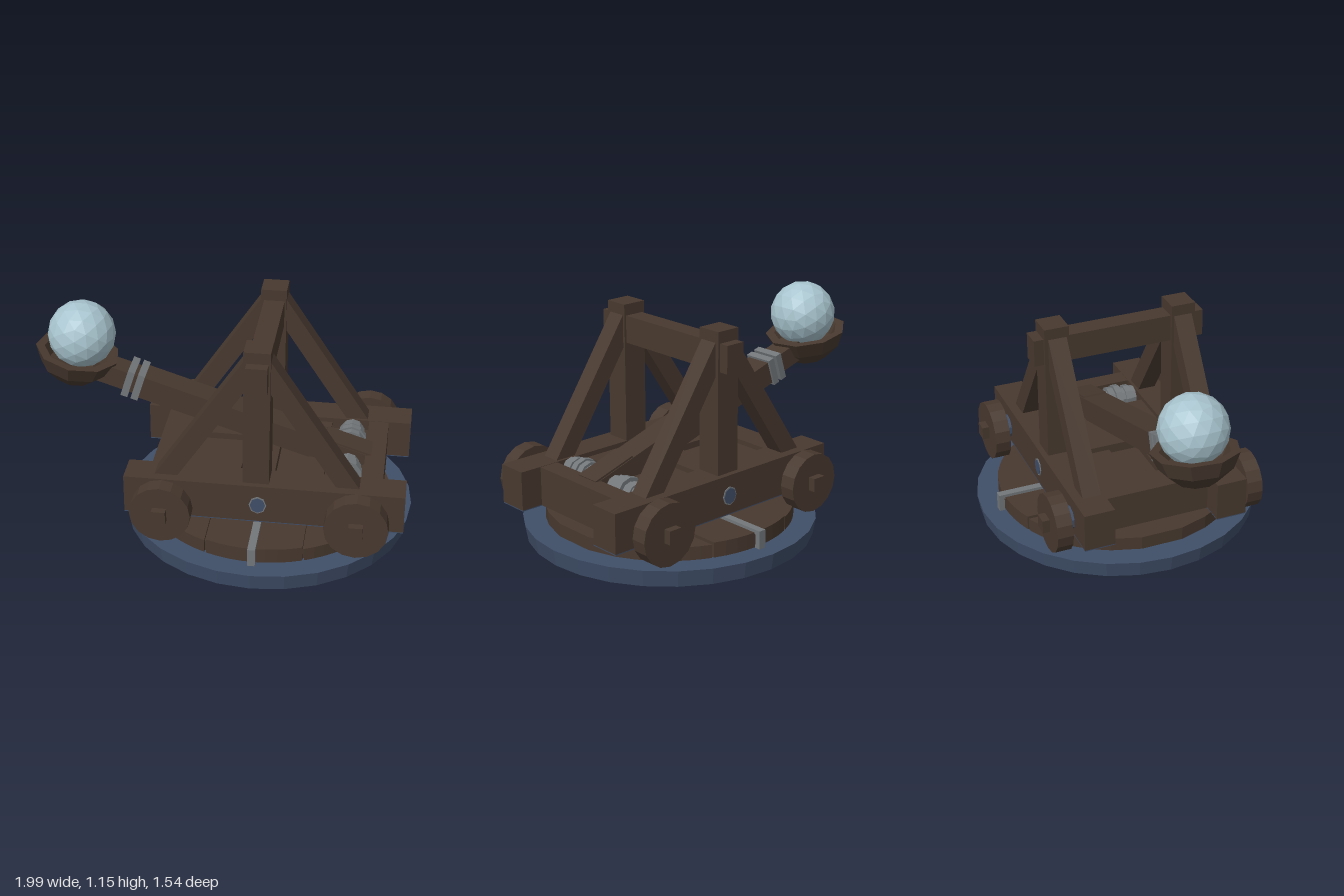
import * as THREE from 'three';

const mat = (name, color) => {
  const m = new THREE.MeshStandardMaterial({ color, flatShading: true });
  m.name = name;
  return m;
};

export function createModel() {
  const root = new THREE.Group();
  root.name = 'catapult';
  const wood = mat('dark wood', 0x48392f);
  const blue = mat('slate blue', 0x3f4e68);
  const metal = mat('grey metal', 0x73777a);
  const ice = mat('pale ice', 0xa8c4ce);

  const add = (name, geo, m, x = 0, y = 0, z = 0, parent = root) => {
    const mesh = new THREE.Mesh(geo, m);
    mesh.name = name;
    mesh.position.set(x, y, z);
    parent.add(mesh);
    return mesh;
  };
  // box given by its extents on each axis
  const box = (name, m, [x0, x1], [y0, y1], [z0, z1]) =>
    add(name, new THREE.BoxGeometry(x1 - x0, y1 - y0, z1 - z0), m,
      (x0 + x1) / 2, (y0 + y1) / 2, (z0 + z1) / 2);
  // sloping beam between two points in the xy plane
  const beam = (name, m, [ax, ay], [bx, by], h, d, z = 0) => {
    const mesh = add(name, new THREE.BoxGeometry(Math.hypot(bx - ax, by - ay), h, d), m,
      (ax + bx) / 2, (ay + by) / 2, z);
    mesh.rotation.z = Math.atan2(by - ay, bx - ax);
    return mesh;
  };
  // cylinder lying along z
  const roller = (name, m, r, len, sides, x, y, z) =>
    add(name, new THREE.CylinderGeometry(r, r, len, sides).rotateX(Math.PI / 2), m, x, y, z);

  // round foot
  const cx = 0.225;
  add('baseDisk', new THREE.CylinderGeometry(0.77, 0.755, 0.088, 28), blue, cx, 0.044, 0);
  add('turntableCore', new THREE.CylinderGeometry(0.635, 0.635, 0.06, 28), wood, cx, 0.115, 0);

  // turntable planks, cut from a circle
  const R = 0.65;
  const cuts = [-0.645, -0.25, 0.25, 0.645];
  const tops = [0.16, 0.168, 0.158];
  for (let i = 0; i < 3; i++) {
    const a = cuts[i] + 0.005, b = cuts[i + 1] - 0.005;
    const pts = [];
    for (const s of [1, -1]) {
      for (let k = 0; k <= 8; k++) {
        const u = s > 0 ? a + (b - a) * k / 8 : b - (b - a) * k / 8;
        pts.push(new THREE.Vector2(u, -s * Math.sqrt(R * R - u * u)));
      }
    }
    const geo = new THREE.ExtrudeGeometry(new THREE.Shape(pts),
      { depth: tops[i] - 0.08, bevelEnabled: false });
    add('turntablePlank', geo.rotateX(-Math.PI / 2), wood, cx, 0.08, 0);
  }

  // strap across the turntable, bent down at both ends
  box('strap', metal, [0.2, 0.24], [0.16, 0.184], [-0.68, 0.68]);

  // deck between the rails, with raised slabs
  box('deck', wood, [-0.33, 0.83], [0.2, 0.35], [-0.29, 0.29]);
  box('rearCrossBeam', wood, [-0.35, -0.2], [0.2, 0.4], [-0.29, 0.29]);
  box('frontCrossBeam', wood, [0.74, 0.845], [0.2, 0.408], [-0.29, 0.29]);
  box('middleCrossBeam', wood, [0.13, 0.29], [0.2, 0.4], [-0.29, 0.29]);

  for (const s of [1, -1]) {
    const zs = (a, b) => (s > 0 ? [a, b] : [-b, -a]);
    box('strapEnd', metal, [0.2, 0.24], [0.088, 0.184], zs(0.655, 0.685));
    box('deckSlab', wood, [-0.18, 0.11], [0.3, 0.385], zs(0.085, 0.285));
    box('deckSlab', wood, [0.31, 0.54], [0.3, 0.385], zs(0.085, 0.285));

    // side rail with painted underside and badge plate
    box('sideRail', wood, [-0.47, 0.965], [0.203, 0.41], zs(0.285, 0.45));
    box('railUnderside', blue, [-0.47, 0.965], [0.198, 0.203], zs(0.285, 0.45));
    roller('plateRim', metal, 0.05, 0.006, 8, 0.222, 0.3, s * 0.451).scale.x = 0.9;
    roller('plate', blue, 0.043, 0.009, 8, 0.222, 0.3, s * 0.452).scale.x = 0.9;

    // upright frame
    box('post', wood, [0.14, 0.275], [0.38, 1.155], zs(0.287, 0.42));
    beam('brace', wood, [-0.29, 0.36], [0.195, 1.09], 0.098, 0.1, s * 0.35);
    beam('brace', wood, [0.706, 0.36], [0.221, 1.09], 0.098, 0.1, s * 0.35);

    // wheels
    for (const [x, r] of [[-0.263, 0.157], [0.73, 0.163]]) {
      roller('wheel', wood, r, 0.085, 16, x, 0.275, s * 0.532);
      box('wheelHub', wood, [x - 0.036, x + 0.036], [0.244, 0.316], zs(0.56, 0.613));
    }

    // rope windings around the torsion bar
    for (const [z, r] of [[0.135, 0.075], [0.175, 0.082], [0.235, 0.07]])
      roller('winding', metal, r, 0.034, 10, 0.652, 0.357, s * z);
  }

  box('topBeam', wood, [0.156, 0.264], [0.95, 1.095], [-0.472, 0.472]);
  for (const x of [-0.263, 0.73]) roller('axle', blue, 0.066, 1.0, 10, x, 0.28, 0);
  roller('torsionBar', metal, 0.06, 0.56, 10, 0.652, 0.357, 0);

  // throwing arm
  const slope = (x) => 0.713 - 0.316 * (x + 0.42);
  const at = (x) => [x, slope(x)];
  beam('arm', wood, at(0.73), at(-0.47), 0.125, 0.144);
  beam('armHeel', wood, at(0.75), at(0.51), 0.145, 0.135);
  beam('armNeck', wood, at(-0.42), at(-0.7), 0.105, 0.125);
  for (const x of [-0.457, -0.51]) beam('armBand', metal, at(x + 0.018), at(x - 0.018), 0.15, 0.168);

  // bowl, hollow and tilted
  const profile = [[0, -0.165], [0.1, -0.16], [0.185, -0.085], [0.222, 0],
    [0.175, 0], [0.14, -0.06], [0, -0.1]].map(([r, y]) => new THREE.Vector2(r, y));
  const bowl = add('bowl', new THREE.LatheGeometry(profile, 9), wood, -0.785, 0.878, 0);
  bowl.rotation.z = -0.19;

  // faceted ball
  add('ball', new THREE.IcosahedronGeometry(0.177, 2), ice, -0.76, 0.979, 0);

  return root;
}
